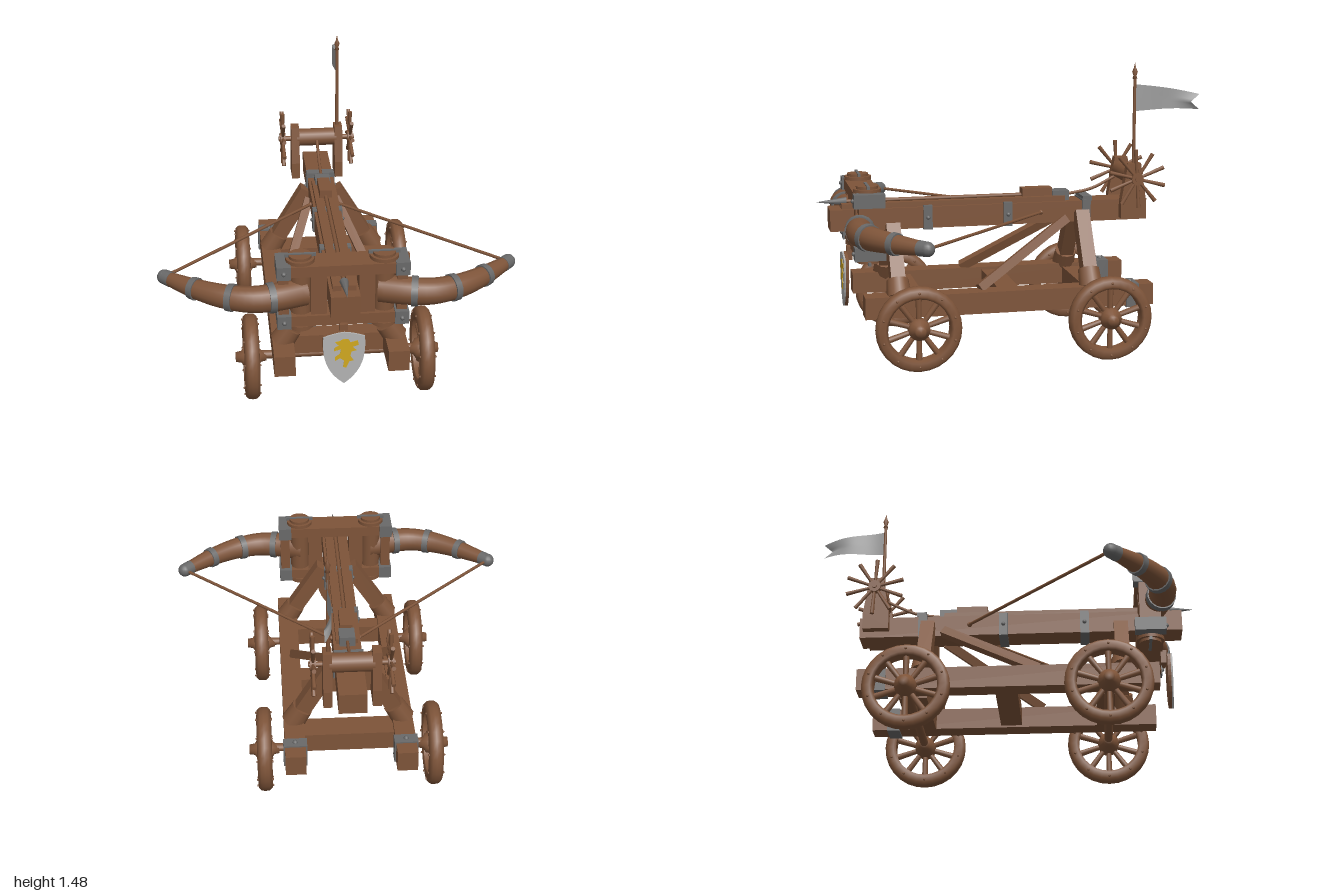
import * as THREE from 'three';

const V = (x, y, z) => new THREE.Vector3(x, y, z);
const UP = V(0, 1, 0);

export function createModel() {
  const model = new THREE.Group();
  const mat = (name, color, side = THREE.FrontSide) => {
    const m = new THREE.MeshStandardMaterial({ color, side });
    m.name = name;
    return m;
  };
  const wood = mat('wood', 0x7e5439);
  const iron = mat('iron', 0x696969);
  const cloth = mat('cloth', 0x9c9c9c, THREE.DoubleSide);
  const silver = mat('shield silver', 0xb2b2b2);
  const gold = mat('gold paint', 0xd0a820);

  const add = (name, geo, m, x = 0, y = 0, z = 0, parent = model) => {
    const mesh = new THREE.Mesh(geo, m);
    mesh.name = name;
    mesh.position.set(x, y, z);
    parent.add(mesh);
    return mesh;
  };
  // Box given by its limits on each axis
  const block = (name, m, x0, x1, y0, y1, z0, z1, parent = model) =>
    add(name, new THREE.BoxGeometry(x1 - x0, y1 - y0, z1 - z0), m,
      (x0 + x1) / 2, (y0 + y1) / 2, (z0 + z1) / 2, parent);
  // Any y-aligned geometry made to span two points
  const span = (name, m, a, b, make, parent = model) => {
    const d = b.clone().sub(a);
    const mesh = add(name, make(d.length()), m, 0, 0, 0, parent);
    mesh.position.copy(a).add(b).multiplyScalar(0.5);
    mesh.quaternion.setFromUnitVectors(UP, d.normalize());
    return mesh;
  };
  const rod = (r0, r1 = r0, n = 10) => (l) => new THREE.CylinderGeometry(r1, r0, l, n);
  const bar = (w, d) => (l) => new THREE.BoxGeometry(w, l, d);

  // Chassis
  for (const s of [-1, 1]) {
    const x = s * 0.28;
    block('sideRail', wood, x - 0.052, x + 0.052, 0.25, 0.36, -0.7, 0.79);
    block('railStrap', iron, x - 0.06, x + 0.06, 0.243, 0.367, -0.62, -0.555);
    add('strapBolt', new THREE.SphereGeometry(0.014, 8, 6), iron, x, 0.367, -0.588);
  }
  block('rearCrossbeam', wood, -0.23, 0.23, 0.24, 0.34, -0.5, -0.36);
  block('middleCrossbeam', wood, -0.23, 0.23, 0.26, 0.345, -0.09 + 0.07, 0.09 - 0.03 + 0.03);
  block('frontCrossbeam', wood, -0.23, 0.23, 0.24, 0.34, 0.48, 0.57);

  // Wheels and axles
  const rimProfile = [[0.157, -0.03], [0.17, -0.038], [0.2, -0.035], [0.214, -0.02], [0.216, 0],
    [0.214, 0.02], [0.2, 0.035], [0.17, 0.038], [0.157, 0.03], [0.157, -0.03]]
    .map(([r, y]) => new THREE.Vector2(r, y));
  const hubProfile = [[0, -0.075], [0.025, -0.075], [0.03, -0.05], [0.052, -0.035], [0.056, 0],
    [0.052, 0.035], [0.03, 0.05], [0.025, 0.078], [0, 0.078]].map(([r, y]) => new THREE.Vector2(r, y));
  for (const z of [0.54, -0.44]) {
    add('axle', new THREE.CylinderGeometry(0.022, 0.022, 0.82, 10), wood, 0, 0.225, z).rotation.z = Math.PI / 2;
    for (const s of [-1, 1]) {
      const wheel = new THREE.Group();
      wheel.name = 'wheel';
      wheel.position.set(s * 0.435, 0.218, z);
      wheel.rotation.z = -s * Math.PI / 2;
      model.add(wheel);
      add('rim', new THREE.LatheGeometry(rimProfile, 28), wood, 0, 0, 0, wheel);
      add('hub', new THREE.LatheGeometry(hubProfile, 16), wood, 0, 0, 0, wheel);
      for (let i = 0; i < 10; i++) {
        const a = i * Math.PI / 5, c = Math.cos(a), n = Math.sin(a);
        span('spoke', wood, V(c * 0.04, 0, n * 0.04), V(c * 0.165, 0, n * 0.165), rod(0.013, 0.016, 8), wheel);
        for (const k of [-1, 1])
          add('rimNail', new THREE.SphereGeometry(0.007, 6, 4), wood, c * 0.187, k * 0.037, n * 0.187, wheel);
      }
    }
  }

  // Splayed legs and diagonal braces
  for (const s of [-1, 1]) {
    for (const [z, top] of [[0.615, 0.67], [-0.38, 0.7]]) {
      const foot = V(s * 0.285, 0.345, z), head = V(s * 0.075, top, z);
      span('leg', wood, foot, head, bar(0.08, 0.072));
      span('legSocket', wood, foot, foot.clone().lerp(head, 0.24), rod(0.062, 0.056, 12));
    }
    span('brace', wood, V(s * 0.26, 0.365, 0.2), V(s * 0.075, 0.67, -0.3), bar(0.045, 0.045));
  }

  // Stock, slide and bolt
  block('stock', wood, -0.07, 0.07, 0.65, 0.76, -0.74, 0.93);
  for (const s of [-1, 1]) {
    block('slideRail', wood, s * 0.035 - 0.021, s * 0.035 + 0.021, 0.76, 0.787, -0.3, 0.87);
  }
  for (const z of [0.43, 0.01, -0.41]) {
    block('stockStrap', iron, -0.078, 0.078, 0.643, 0.768, z - 0.023, z + 0.023);
    for (const s of [-1, 1]) add('strapStud', new THREE.SphereGeometry(0.011, 8, 6), iron, s * 0.079, 0.705, z);
  }
  block('latchPlate', iron, -0.075, 0.075, 0.76, 0.785, -0.44, -0.39);
  block('trigger', iron, -0.04, 0.04, 0.76, 0.812, -0.325, -0.235);
  block('triggerBlock', wood, -0.032, 0.032, 0.785, 0.83, -0.235, -0.075);
  span('boltShaft', wood, V(0, 0.793, -0.2), V(0, 0.793, 0.87), rod(0.01));
  span('boltHead', iron, V(0, 0.793, 0.84), V(0, 0.793, 0.99), rod(0.022, 0.001, 8));

  // Torsion frame
  block('frameTop', wood, -0.31, 0.31, 0.815, 0.87, 0.69, 0.825);
  block('frameBottom', wood, -0.31, 0.31, 0.55, 0.605, 0.69, 0.825);
  for (const s of [-1, 1]) {
    block('innerPost', wood, s * 0.115 - 0.038, s * 0.115 + 0.038, 0.6, 0.82, 0.705, 0.81);
    block('outerPost', wood, s * 0.283 - 0.025, s * 0.283 + 0.025, 0.6, 0.82, 0.705, 0.81);
    add('torsionBundle', new THREE.CylinderGeometry(0.052, 0.052, 0.37, 16), wood, s * 0.2, 0.71, 0.757);
    for (const [y, k] of [[0.842, 1], [0.577, -1]]) {
      block('cornerBracket', iron, s * 0.282 - 0.034, s * 0.282 + 0.034, y - 0.034, y + 0.034, 0.68, 0.835);
      add('bracketBolt', new THREE.SphereGeometry(0.012, 8, 6), iron, s * 0.282, y, 0.836);
      add('washer', new THREE.CylinderGeometry(0.07, 0.07, 0.018, 20), wood, s * 0.2, y + k * 0.04, 0.757);
      add('bundleCap', new THREE.CylinderGeometry(0.055, 0.055, 0.02, 20), wood, s * 0.2, y + k * 0.053, 0.757);
      block('tensionBar', iron, s * 0.2 - 0.075, s * 0.2 + 0.075, y + k * 0.06 - 0.008, y + k * 0.06 + 0.008, 0.75, 0.764);
    }
  }

  // Tapered bow arms, bands, tips and string
  for (const s of [-1, 1]) {
    const pts = [[0.18, 0.765], [0.33, 0.81], [0.43, 0.82], [0.55, 0.785], [0.68, 0.705], [0.77, 0.63], [0.845, 0.56]];
    const curve = new THREE.CatmullRomCurve3(pts.map(([x, z]) => V(s * x, 0.708, z)));
    const radius = (t) => 0.069 - 0.038 * t * t;
    const segs = 24, sides = 16;
    const geo = new THREE.TubeGeometry(curve, segs, 1, sides);
    const pos = geo.attributes.position;
    for (let i = 0; i <= segs; i++) {
      const c = curve.getPointAt(i / segs);
      for (let j = 0; j <= sides; j++) {
        const k = i * (sides + 1) + j;
        const p = V().fromBufferAttribute(pos, k).sub(c).multiplyScalar(radius(i / segs)).add(c);
        pos.setXYZ(k, p.x, p.y, p.z);
      }
    }
    geo.computeVertexNormals();
    add('bowArm', geo, wood);
    for (const t of [0.225, 0.48, 0.745]) {
      const c = curve.getPointAt(t), d = curve.getTangentAt(t).multiplyScalar(0.016);
      span('armBand', iron, c.clone().sub(d), c.clone().add(d), rod(radius(t) + 0.008, radius(t) + 0.006, 16));
    }
    const tip = curve.getPointAt(1), back = curve.getPointAt(0.94);
    span('tipSleeve', iron, back, tip, rod(0.038, 0.036, 14));
    add('armTip', new THREE.SphereGeometry(0.036, 14, 10), iron, tip.x, tip.y, tip.z);
    span('bowString', wood, V(s * 0.845, 0.708, 0.56), V(s * 0.07, 0.708, -0.17), rod(0.008, 0.008, 8));
    add('stringKnot', new THREE.SphereGeometry(0.013, 8, 6), wood, s * 0.072, 0.708, -0.165);
  }

  // Windlass
  const side = new THREE.Shape([[-0.07, 0.67], [0.065, 0.67], [0.065, 0.76], [0.035, 0.96], [-0.035, 0.96], [-0.07, 0.76]]
    .map(([a, b]) => new THREE.Vector2(a, b)));
  for (const s of [-1, 1]) {
    const cheek = add('windlassCheek', new THREE.ExtrudeGeometry(side, { depth: 0.044, bevelEnabled: false }), wood,
      s * 0.12 - 0.022, 0, -0.65);
    cheek.rotation.y = Math.PI / 2;
    for (let i = 0; i < 10; i++) {
      const a = i * Math.PI / 5 + 0.25, c = Math.cos(a), n = Math.sin(a);
      span('windlassSpoke', wood, V(s * 0.188, 0.885, -0.65),
        V(s * 0.188, 0.885 + n * 0.153, -0.65 + c * 0.153), rod(0.007, 0.011, 8));
    }
    add('windlassHub', new THREE.CylinderGeometry(0.032, 0.032, 0.03, 14), wood, s * 0.188, 0.885, -0.65).rotation.z = Math.PI / 2;
  }
  span('windlassDrum', wood, V(-0.11, 0.89, -0.65), V(0.11, 0.89, -0.65), rod(0.048, 0.048, 18));
  span('windlassAxle', wood, V(-0.21, 0.885, -0.65), V(0.21, 0.885, -0.65), rod(0.014));
  const ropePath = new THREE.CatmullRomCurve3([V(0, 0.785, -0.3), V(0, 0.81, -0.45), V(0, 0.85, -0.54), V(0, 0.885, -0.605)]);
  add('windlassRope', new THREE.TubeGeometry(ropePath, 12, 0.008, 8), wood);

  // Flagpole and swallowtail flag
  const px = 0.115, pz = -0.652;
  span('flagpole', wood, V(px, 0.7, pz), V(px, 1.42, pz), rod(0.01, 0.008));
  const finial = [[0, 1.395], [0.013, 1.4], [0.008, 1.415], [0.015, 1.435], [0.006, 1.455], [0, 1.485]];
  add('finial', new THREE.LatheGeometry(finial.map(([r, y]) => new THREE.Vector2(r, y)), 12), wood, px, 0, pz);
  const flag = new THREE.PlaneGeometry(1, 1, 20, 8);
  const fp = flag.attributes.position;
  for (let i = 0; i < fp.count; i++) {
    const u = fp.getX(i) + 0.5, v = fp.getY(i) * 2;
    const z = pz - u * (0.342 - 0.045 * (1 - Math.abs(v)) * u * u);
    const y = 1.3 - 0.025 * u * u + v * (0.07 - 0.03 * u);
    fp.setXYZ(i, px + 0.012 * Math.sin(u * 5.5) * (1 - u) - 0.022 * Math.sin(u * Math.PI) * u + 0.032 * u * u * u, y, z);
  }
  flag.computeVertexNormals();
  add('flag', flag, cloth);

  // Shield with a painted beast
  const outline = new THREE.Shape();
  outline.moveTo(0, 0.53);
  outline.quadraticCurveTo(0.05, 0.525, 0.1, 0.505);
  outline.bezierCurveTo(0.108, 0.4, 0.09, 0.31, 0, 0.245);
  outline.bezierCurveTo(-0.09, 0.31, -0.108, 0.4, -0.1, 0.505);
  outline.quadraticCurveTo(-0.05, 0.525, 0, 0.53);
  const plate = (name, shape, depth, m, z) =>
    add(name, new THREE.ExtrudeGeometry(shape, { depth, bevelEnabled: false, curveSegments: 10 }), m, 0, 0, z);
  plate('shieldBack', outline, 0.016, wood, 0.843);
  plate('shieldFace', outline, 0.009, silver, 0.859);
  const beast = new THREE.Shape([[-0.045, 0.48], [-0.02, 0.485], [-0.005, 0.495], [0.02, 0.495], [0.03, 0.475], [0.065, 0.485],
    [0.07, 0.46], [0.04, 0.45], [0.06, 0.43], [0.035, 0.425], [0.03, 0.4], [0.045, 0.375], [0.025, 0.37],
    [0.01, 0.335], [-0.005, 0.34], [0, 0.375], [-0.02, 0.39], [-0.045, 0.375], [-0.045, 0.395], [-0.02, 0.415],
    [-0.015, 0.44], [-0.05, 0.43], [-0.045, 0.45], [-0.025, 0.46]].map(([x, y]) => new THREE.Vector2(x, y)));
  plate('paintedBeast', beast, 0.003, gold, 0.868);
  block('shieldHanger', wood, -0.02, 0.02, 0.49, 0.56, 0.815, 0.845);

  return model;
}
